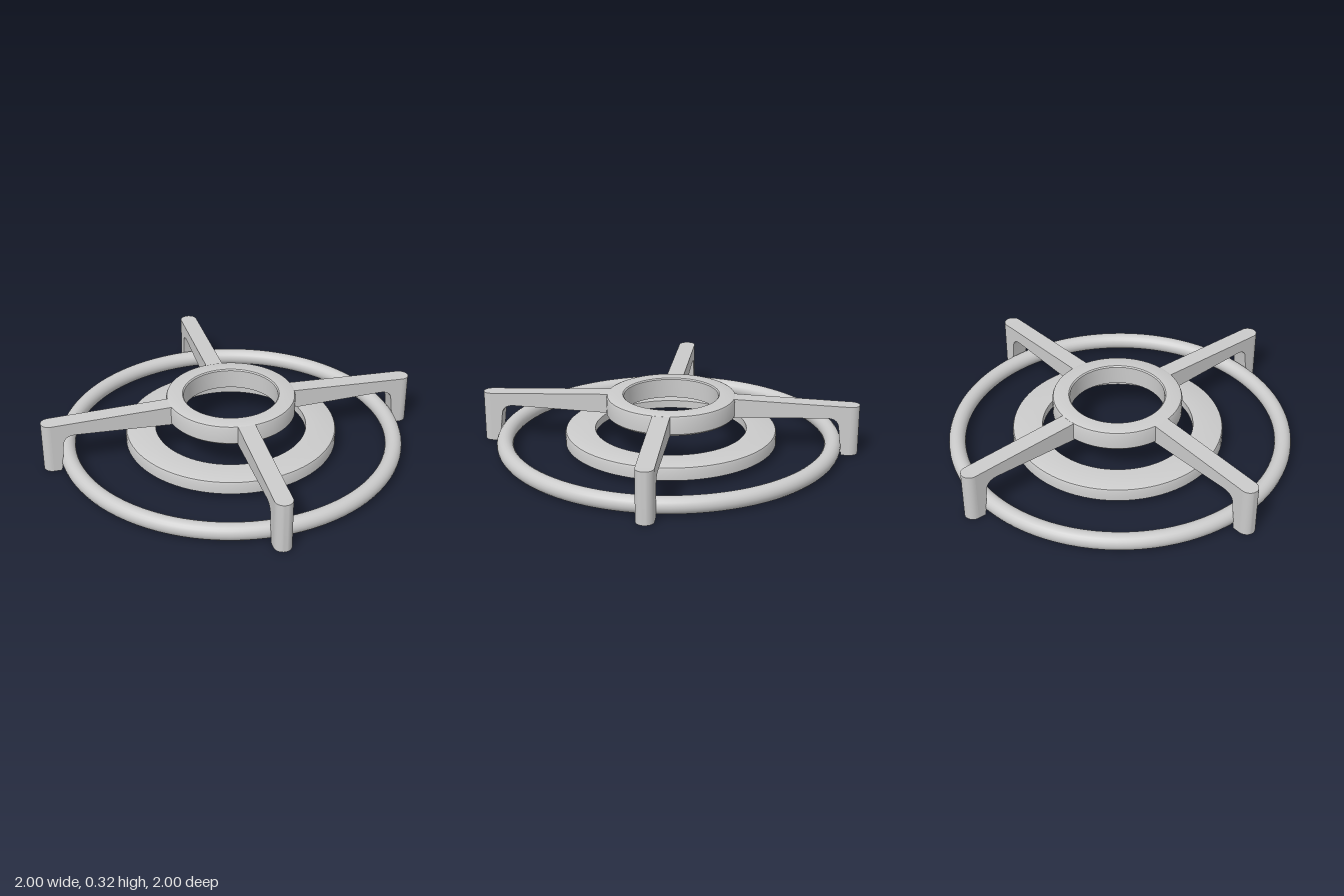
import * as THREE from 'three';
import { toCreasedNormals } from 'three/addons/utils/BufferGeometryUtils.js';

const material = new THREE.MeshStandardMaterial({ color: 0xcccccc });

function part(name, geometry) {
  const mesh = new THREE.Mesh(toCreasedNormals(geometry, 0.6), material);
  mesh.name = name;
  return mesh;
}

// Closed ring turned from a counter-clockwise (radius, height) section
function ring(name, section) {
  const points = [...section, section[0]].map(([r, y]) => new THREE.Vector2(r, y));
  return part(name, new THREE.LatheGeometry(points, 80));
}

// One radial arm with its rounded foot, pointing along +x
function supportArm() {
  const arm = new THREE.Group();
  const width = 0.1, tip = 1.047, top = 0.293;

  const side = new THREE.Shape();
  side.moveTo(0.33, 0.2);
  side.lineTo(0.91, 0.222);
  side.quadraticCurveTo(0.972, 0.222, 0.98, 0.175);
  side.lineTo(1.0, 0);
  side.lineTo(tip, 0);
  side.lineTo(tip, top);
  side.lineTo(0.33, 0.316);
  side.closePath();
  const beam = new THREE.ExtrudeGeometry(side, { depth: width, bevelEnabled: false, curveSegments: 8 });
  beam.translate(0, 0, -width / 2);
  arm.add(part('armAndLeg', beam));

  const end = new THREE.CylinderGeometry(width / 2, width / 2, top, 16, 1, false, 0, Math.PI);
  end.translate(tip, top / 2, 0);
  arm.add(part('roundedLegEnd', end));
  return arm;
}

export function createModel() {
  const model = new THREE.Group();
  model.name = 'burnerStand';

  // Round base hoop
  const hoop = new THREE.TorusGeometry(0.952, 0.048, 20, 96);
  hoop.rotateX(Math.PI / 2);
  hoop.translate(0, 0.052, 0);
  model.add(part('baseHoop', hoop));

  // Flat plate with a hollowed underside
  const plate = ring('lowerPlate', [
    [0.44, 0.07], [0.595, 0.04], [0.614, 0.04], [0.614, 0.1],
    [0.609, 0.112], [0.597, 0.117], [0.44, 0.117],
  ]);
  plate.position.set(-0.005, 0, -0.013);
  model.add(plate);

  // Upper collar with softened edges
  const collar = ring('upperCollar', [
    [0.273, 0.2], [0.362, 0.2], [0.374, 0.212], [0.374, 0.303],
    [0.369, 0.315], [0.357, 0.32], [0.28, 0.32], [0.273, 0.313],
  ]);
  collar.position.set(-0.005, 0, -0.015);
  model.add(collar);

  // Four diagonal arms
  for (let i = 0; i < 4; i++) {
    const arm = supportArm();
    arm.name = 'supportArm' + (i + 1);
    arm.rotation.y = Math.PI / 4 + (i * Math.PI) / 2;
    model.add(arm);
  }
  return model;
}
